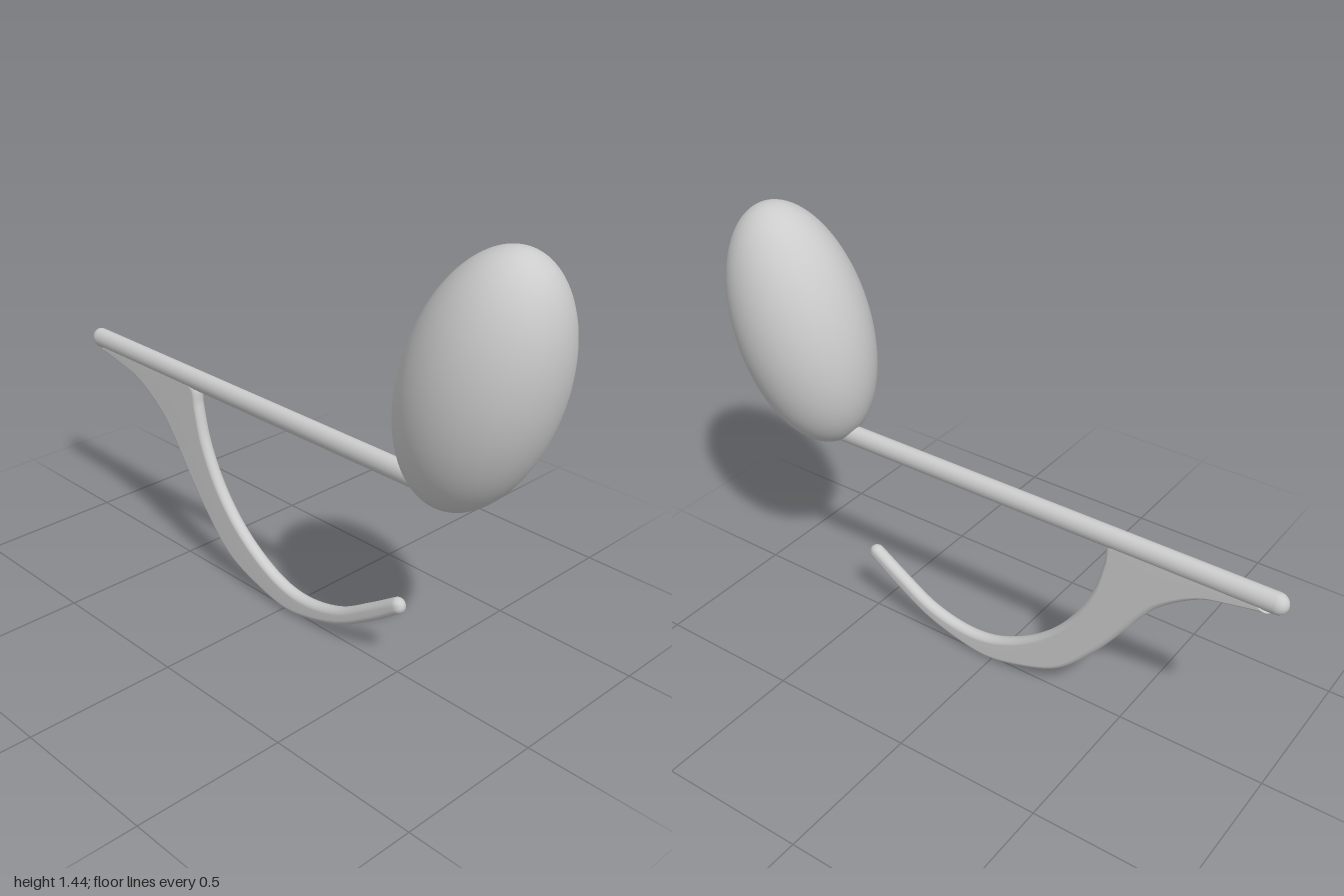
import * as THREE from 'three';

// Side outlines of the hook as matching [z, y] pairs, from free tip to rod
const INNER = [[0.48, 0.262], [0.37, 0.19], [0.25, 0.12], [0.12, 0.088], [0.013, 0.094], [-0.1, 0.14],
  [-0.22, 0.228], [-0.313, 0.34], [-0.383, 0.48], [-0.415, 0.6], [-0.43, 0.67], [-0.58, 0.675], [-0.76, 0.68], [-0.9, 0.685]];
const OUTER = [[0.5, 0.212], [0.39, 0.135], [0.26, 0.06], [0.13, 0.018], [0.02, 0.003], [-0.11, 0.028],
  [-0.26, 0.09], [-0.39, 0.22], [-0.5, 0.367], [-0.55, 0.44], [-0.61, 0.51], [-0.75, 0.605], [-0.86, 0.632], [-0.95, 0.647]];

const spline = (pts) => new THREE.CatmullRomCurve3(pts.map(([z, y]) => new THREE.Vector3(0, y, z)));

// Sweep a thin stadium-shaped section between the two outlines
function hookGeometry(halfWidth, steps = 110, sides = 28, capSteps = 6) {
  const inner = spline(INNER), outer = spline(OUTER);
  const pos = [], index = [];
  const ring = (t, scale, push) => {
    const a = inner.getPoint(t), b = outer.getPoint(t);
    const centre = a.clone().add(b).multiplyScalar(0.5);
    const across = a.clone().sub(b);
    const half = across.length() / 2;
    across.normalize();
    const forward = new THREE.Vector3(0, across.z, -across.y);
    centre.addScaledVector(forward, push);
    const r = Math.min(halfWidth, half);
    for (let j = 0; j < sides; j++) {
      const ang = ((j + 0.5) / sides) * Math.PI * 2;
      const n = Math.sin(ang) * r + Math.sign(Math.sin(ang)) * (half - r);
      const p = centre.clone().addScaledVector(across, n * scale);
      pos.push(Math.cos(ang) * r * scale, p.y, p.z);
    }
  };
  // Rounded free tip, then the body of the hook
  for (let k = 0; k < capSteps; k++) {
    const a = (k / capSteps) * Math.PI / 2;
    ring(0, Math.max(Math.sin(a), 0.001), -Math.cos(a) * 0.028);
  }
  for (let i = 0; i <= steps; i++) ring(i / steps, 1, 0);
  ring(1, 0.001, 0);

  const rings = pos.length / 3 / sides;
  for (let i = 0; i < rings - 1; i++) {
    for (let j = 0; j < sides; j++) {
      const k = (j + 1) % sides;
      const a = i * sides + j, b = a + sides, c = i * sides + k, d = c + sides;
      index.push(a, b, c, b, d, c);
    }
  }
  const geo = new THREE.BufferGeometry();
  geo.setAttribute('position', new THREE.Float32BufferAttribute(pos, 3));
  geo.setIndex(index);
  geo.computeVertexNormals();
  return geo;
}

export function createModel() {
  const group = new THREE.Group();
  const material = new THREE.MeshStandardMaterial({ color: 0xcccccc });
  const add = (name, geometry) => {
    const mesh = new THREE.Mesh(geometry, material);
    mesh.name = name;
    group.add(mesh);
    return mesh;
  };

  // Tilted egg-like head
  const head = add('head', new THREE.SphereGeometry(1, 64, 48));
  head.scale.set(0.215, 0.41, 0.2266);
  head.rotation.x = 0.3;
  head.position.set(0, 1.042, 0.753);

  // Horizontal rod with rounded ends
  const rod = add('rod', new THREE.CapsuleGeometry(0.035, 1.59, 12, 32).rotateX(Math.PI / 2));
  rod.scale.x = 0.84;
  rod.position.set(0, 0.687, -0.17);

  // Curved hook flaring into the underside of the rod
  add('hook', hookGeometry(0.023));

  return group;
}
